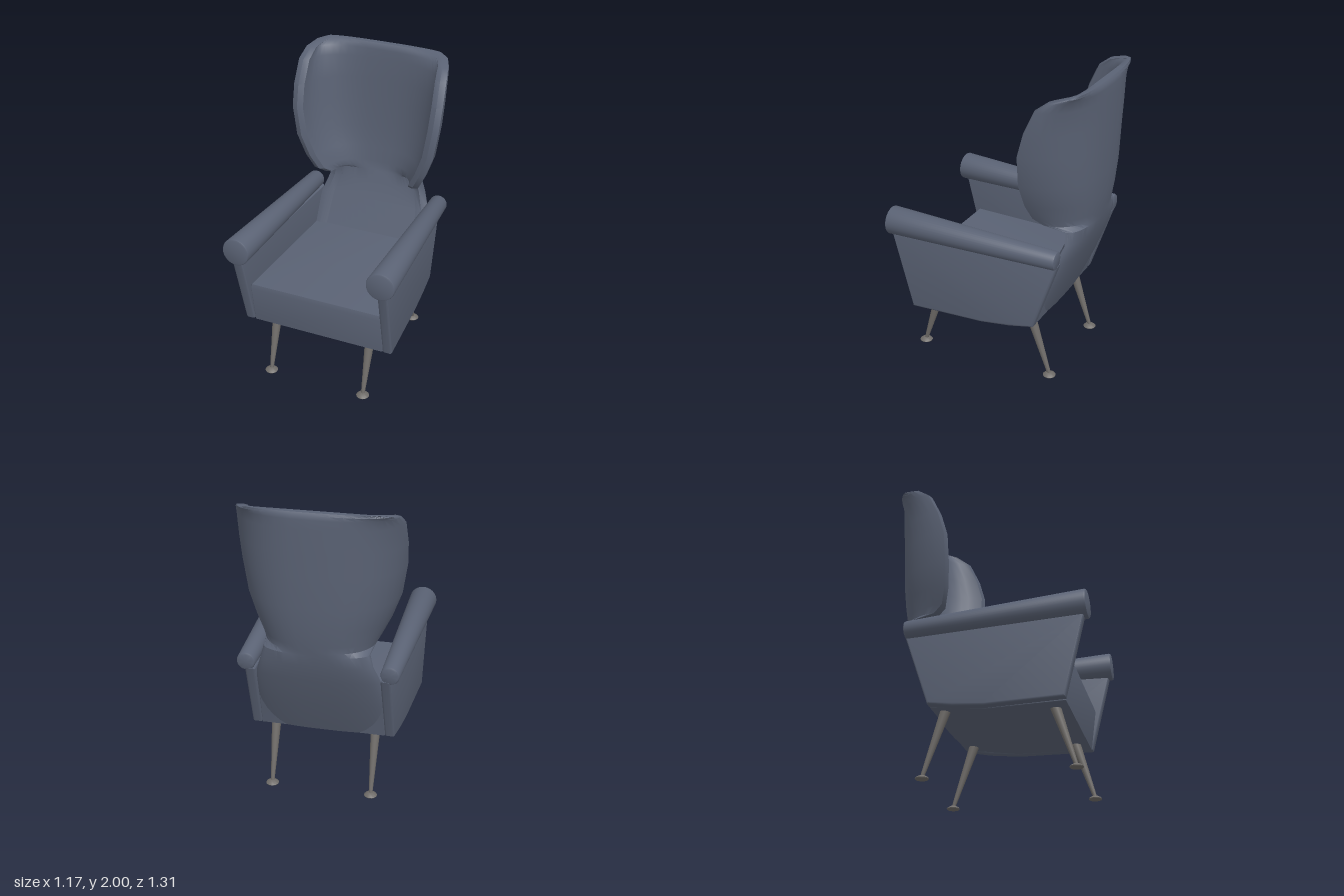
import * as THREE from 'three';
import { toCreasedNormals } from 'three/addons/utils/BufferGeometryUtils.js';

const fabric = new THREE.MeshStandardMaterial({ color: 0x5a6274 });
const metal = new THREE.MeshStandardMaterial({ color: 0x6e6b68 });

function mesh(name, geometry, material) {
  const m = new THREE.Mesh(geometry, material);
  m.name = name;
  return m;
}

// Extrude a side outline of [z, y] points across x, centred on x = 0
function sideExtrude(points, width, bevel) {
  const shape = new THREE.Shape(points.map(([z, y]) => new THREE.Vector2(z, y)));
  const depth = width - 2 * bevel;
  const g = new THREE.ExtrudeGeometry(shape, {
    depth, bevelThickness: bevel, bevelSize: bevel, bevelOffset: -bevel, bevelSegments: 3,
  });
  g.translate(0, 0, -depth / 2);
  g.rotateY(-Math.PI / 2);
  return g;
}

// Move x of every vertex by a rule of x and z
function reshapeX(g, rule) {
  const p = g.attributes.position;
  for (let i = 0; i < p.count; i++) p.setX(i, rule(p.getX(i), p.getZ(i)));
  return toCreasedNormals(g, 0.6);
}

// Winged back: U-shaped cross-sections stacked from top to bottom
function backGeometry() {
  // height, back z, wing front z, half width, thickness
  const rows = [
    [2.0, -0.64, -0.6, 0.4, 0.04],
    [1.985, -0.652, -0.55, 0.46, 0.065],
    [1.96, -0.655, -0.46, 0.495, 0.07],
    [1.9, -0.655, -0.38, 0.513, 0.075],
    [1.75, -0.655, -0.31, 0.52, 0.075],
    [1.6, -0.652, -0.268, 0.515, 0.075],
    [1.4, -0.65, -0.263, 0.485, 0.075],
    [1.25, -0.64, -0.28, 0.43, 0.075],
    [1.15, -0.628, -0.31, 0.38, 0.075],
    [1.105, -0.62, -0.37, 0.352, 0.07],
    [1.08, -0.615, -0.51, 0.337, 0.075],
    [1.0, -0.6, -0.52, 0.358, 0.08],
    [0.88, -0.56, -0.475, 0.4, 0.09],
    [0.67, -0.48, -0.39, 0.425, 0.095],
    [0.43, -0.37, -0.28, 0.435, 0.09],
  ];
  const n = 20, loop = 2 * n + 4, pos = [], idx = [];
  for (const [y, zb, zf, w, t] of rows) {
    const depth = zf - zb;
    const arc = (i, half, z0, d) => {
      const a = (i / n - 0.5) * Math.PI, s = Math.sin(a);
      pos.push(half * Math.sign(s) * Math.abs(s) ** 0.75, y, z0 + d * (1 - Math.cos(a)));
    };
    const tip = (side) => pos.push(side * (w - t / 2), y, zf + 0.2 * t);
    for (let i = 0; i <= n; i++) arc(i, w, zb, depth);
    tip(1);
    for (let i = n; i >= 0; i--) arc(i, w - t, zb + t, Math.max(depth - t, 0));
    tip(-1);
  }
  for (let r = 0; r < rows.length - 1; r++) {
    for (let j = 0; j < loop; j++) {
      const k = (j + 1) % loop, a = r * loop + j, b = r * loop + k;
      idx.push(a, b, a + loop, b, b + loop, a + loop);
    }
  }
  // Close the top and bottom edges
  const cap = (base, flip) => {
    const tri = (a, b, c) => (flip ? idx.push(base + a, base + c, base + b) : idx.push(base + a, base + b, base + c));
    const inner = (i) => 2 * n + 2 - i;
    for (let i = 0; i < n; i++) {
      tri(i, inner(i), i + 1);
      tri(i + 1, inner(i), inner(i + 1));
    }
    tri(n, inner(n), n + 1);
    tri(0, loop - 1, inner(0));
  };
  cap(0, false);
  cap((rows.length - 1) * loop, true);
  const g = new THREE.BufferGeometry();
  g.setAttribute('position', new THREE.Float32BufferAttribute(pos, 3));
  g.setIndex(idx);
  return toCreasedNormals(g, 0.7);
}

// Turn a y-axis solid so that it runs from one point to another
function aim(m, from, to) {
  const dir = to.clone().sub(from).normalize();
  m.position.copy(from);
  m.quaternion.setFromUnitVectors(new THREE.Vector3(0, 1, 0), dir);
  return m;
}

function lathe(points, segments) {
  const g = new THREE.LatheGeometry(points.map(([r, y]) => new THREE.Vector2(r, y)), segments);
  return toCreasedNormals(g, 0.6);
}

export function createModel() {
  const chair = new THREE.Group();
  chair.name = 'wingArmchair';
  chair.add(mesh('wingedBack', backGeometry(), fabric));

  // Seat, narrowing towards the back
  const seat = sideExtrude([
    [-0.36, 0.43], [0, 0.38], [0.495, 0.376], [0.53, 0.64], [0.522, 0.67], [-0.42, 0.67],
  ], 0.86, 0.005);
  chair.add(mesh('seat', reshapeX(seat, (x, z) => x * (1 + 0.125 * z)), fabric));

  for (const side of [1, -1]) {
    const label = side > 0 ? 'left' : 'right';

    // Side panel, splayed outwards towards the front
    const panel = sideExtrude([
      [-0.36, 0.43], [-0.2, 0.4], [0, 0.38], [0.5, 0.38], [0.63, 0.9], [-0.52, 0.9],
    ], 0.066, 0.014);
    chair.add(mesh(label + 'SidePanel', reshapeX(panel, (x, z) => x + side * (0.4625 + 0.055 * z)), fabric));

    // Tapered arm roll with softened ends
    const rear = new THREE.Vector3(side * 0.46, 0.943, -0.518);
    const front = new THREE.Vector3(side * 0.49, 0.978, 0.652);
    const len = rear.distanceTo(front);
    const roll = lathe([
      [0, 0], [0.048, 0], [0.056, 0.004], [0.06, 0.012],
      [0.093, len - 0.012], [0.09, len - 0.004], [0.081, len], [0, len],
    ], 32);
    chair.add(aim(mesh(label + 'Armrest', roll, fabric), rear, front));

    // Splayed tapered legs on small domed feet
    for (const [end, zTop, zFoot, yTop] of [['Front', 0.4, 0.525, 0.41], ['Rear', -0.27, -0.42, 0.46]]) {
      const foot = new THREE.Vector3(side * 0.335, 0.012, zFoot);
      const top = new THREE.Vector3(side * 0.335, yTop, zTop);
      const h = foot.distanceTo(top);
      const leg = lathe([[0, 0], [0.012, 0], [0.034, h], [0, h]], 20);
      chair.add(aim(mesh(label + end + 'Leg', leg, metal), foot, top));
      const pad = mesh(label + end + 'Foot', lathe([
        [0, 0], [0.04, 0], [0.043, 0.005], [0.036, 0.013], [0.018, 0.023], [0, 0.026],
      ], 20), metal);
      pad.position.set(side * 0.335, 0, zFoot);
      chair.add(pad);
    }
  }
  return chair;
}
